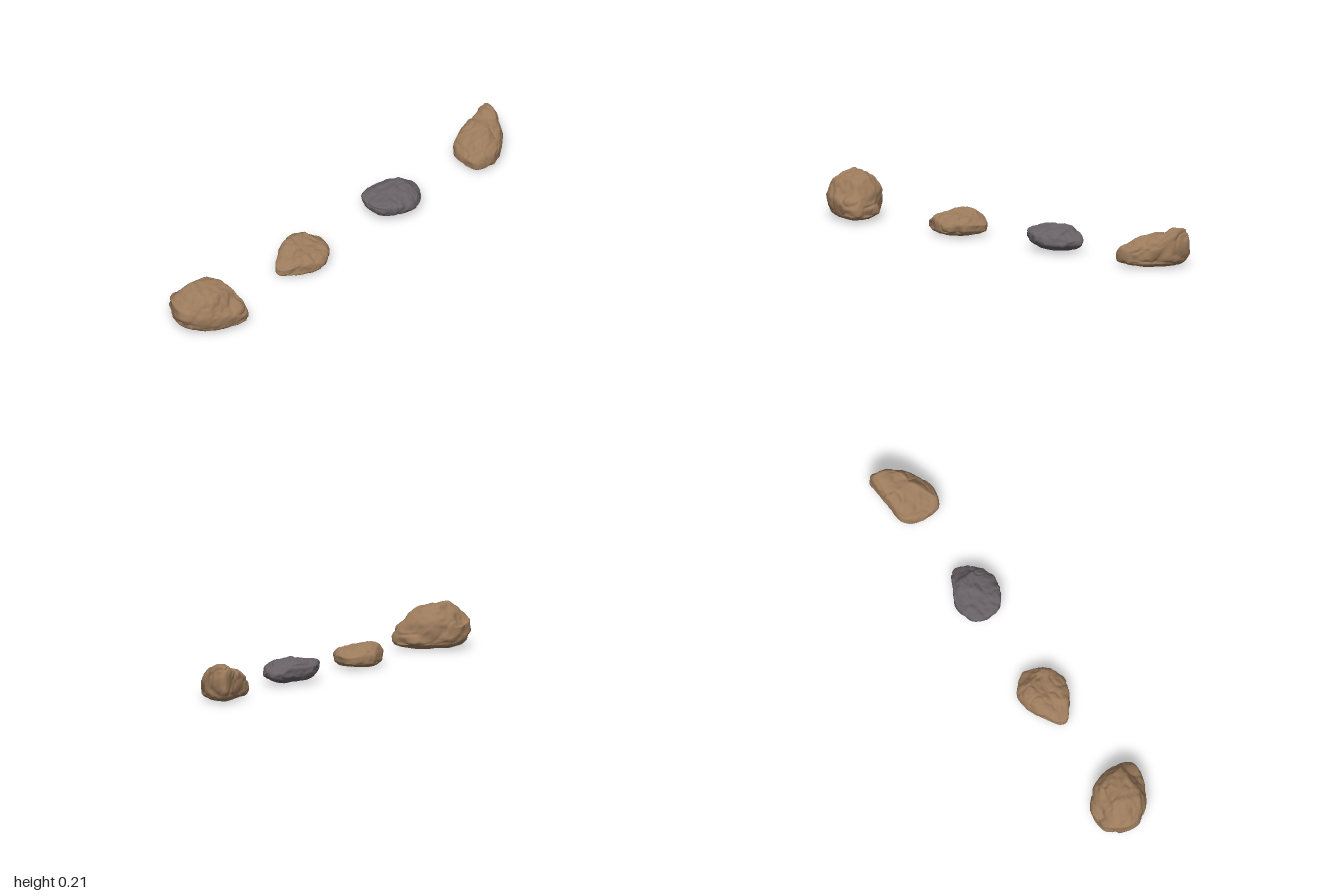
import * as THREE from 'three';

const SEGMENTS = 120, RINGS = 60, GROUND = 0.007;

// Seeded lattice hash in 0..1
function hash(x, y, z, seed) {
  const s = Math.sin(x * 127.1 + y * 311.7 + z * 74.7 + seed * 53.3) * 43758.5453;
  return s - Math.floor(s);
}

// Smooth value noise in -1..1
function noise(x, y, z, seed) {
  const ix = Math.floor(x), iy = Math.floor(y), iz = Math.floor(z);
  const ease = t => t * t * (3 - 2 * t);
  const u = ease(x - ix), v = ease(y - iy), w = ease(z - iz);
  let sum = 0;
  for (let i = 0; i < 2; i++) for (let j = 0; j < 2; j++) for (let k = 0; k < 2; k++) {
    sum += hash(ix + i, iy + j, iz + k, seed) * (i ? u : 1 - u) * (j ? v : 1 - v) * (k ? w : 1 - w);
  }
  return sum * 2 - 1;
}

// Chipped stone: a few octaves of bumps plus narrow cracks
function roughness(p, seed) {
  const at = f => noise(p.x * f, p.y * f * 1.3, p.z * f, seed + f);
  const crack = Math.max(0, 1 - Math.abs(at(13)) * 7);
  return at(17) * 0.008 + at(38) * 0.004 + at(80) * 0.0018 - crack * 0.005;
}

// Height of a profile of [position, height] points
function sample(profile, s) {
  if (s <= profile[0][0]) return profile[0][1];
  for (let i = 1; i < profile.length; i++) {
    const [s0, h0] = profile[i - 1], [s1, h1] = profile[i];
    if (s <= s1) return THREE.MathUtils.lerp(h0, h1, (s - s0) / (s1 - s0));
  }
  return profile[profile.length - 1][1];
}

// Rock swept in rings from top to bottom: plan outline, tilted rim, and top profiles along x and z
function rockGeometry({ outline, rim, topX, topZ, crown, keel, seed }) {
  const corners = outline.map(([x, z]) => new THREE.Vector3(x, 0, z));
  const center = new THREE.Box3().setFromPoints(corners).getCenter(new THREE.Vector3());
  const edge = new THREE.CatmullRomCurve3(corners, true, 'centripetal').getSpacedPoints(SEGMENTS);
  const positions = [], index = [];

  const addPoint = (x, z, h) => {
    const middle = rim[0] + rim[1] * (x - center.x) + rim[2] * (z - center.z);
    const top = Math.max(middle + 0.006, Math.min(sample(topX, x), sample(topZ, z)));
    positions.push(x, middle + (h > 0 ? top - middle : middle - GROUND) * h, z);
  };

  addPoint(center.x, center.z, 1);
  for (let i = 1; i < RINGS; i++) {
    const a = Math.PI * i / RINGS;
    const block = i < RINGS / 2 ? crown : keel;
    const r = Math.pow(Math.sin(a), block);
    const h = Math.sign(Math.cos(a)) * Math.pow(Math.abs(Math.cos(a)), block);
    for (let j = 0; j < SEGMENTS; j++) {
      const p = center.clone().lerp(edge[j], r);
      addPoint(p.x, p.z, h);
    }
  }
  addPoint(center.x, center.z, -1);

  const last = positions.length / 3 - 1;
  const id = (i, j) => 1 + i * SEGMENTS + j % SEGMENTS;
  for (let j = 0; j < SEGMENTS; j++) {
    index.push(0, id(0, j + 1), id(0, j));
    for (let i = 0; i < RINGS - 2; i++) {
      const a = id(i, j), b = id(i, j + 1), c = id(i + 1, j), d = id(i + 1, j + 1);
      index.push(a, d, c, a, b, d);
    }
    index.push(last, id(RINGS - 2, j), id(RINGS - 2, j + 1));
  }

  const geometry = new THREE.BufferGeometry();
  geometry.setAttribute('position', new THREE.Float32BufferAttribute(positions, 3));
  geometry.setIndex(index);
  geometry.computeVertexNormals();

  // Roughen along the normals, more gently underneath
  const pos = geometry.attributes.position, p = new THREE.Vector3(), n = new THREE.Vector3();
  for (let i = 0; i < pos.count; i++) {
    p.fromBufferAttribute(pos, i);
    n.fromBufferAttribute(geometry.attributes.normal, i);
    p.addScaledVector(n, roughness(p, seed) * (n.y < -0.5 ? 0.5 : 1));
    pos.setXYZ(i, p.x, Math.max(p.y, 0.001), p.z);
  }
  geometry.computeVertexNormals();
  return geometry;
}

export function createModel() {
  const brown = new THREE.MeshStandardMaterial({ color: 0x9c7b5c });
  brown.name = 'brown stone';
  const grey = new THREE.MeshStandardMaterial({ color: 0x686165 });
  grey.name = 'grey stone';

  const group = new THREE.Group();
  group.name = 'rocks';
  const addRock = (name, material, shape) => {
    const mesh = new THREE.Mesh(rockGeometry(shape), material);
    mesh.name = name;
    group.add(mesh);
  };

  // Tall boulder
  addRock('largeBoulder', brown, {
    seed: 3, crown: 0.6, keel: 0.55, rim: [0.085, -0.2, -0.13],
    outline: [[-0.995, -0.05], [-0.93, -0.14], [-0.81, -0.135], [-0.7, 0.04], [-0.73, 0.13], [-0.81, 0.135], [-0.96, 0.05]],
    topX: [[-1, 0.13], [-0.89, 0.21], [-0.77, 0.2], [-0.695, 0.09]],
    topZ: [[-0.15, 0.11], [-0.055, 0.212], [0.06, 0.182], [0.15, 0.09]],
  });

  // Low wedge
  addRock('wedgeRock', brown, {
    seed: 11, crown: 0.6, keel: 0.5, rim: [0.048, 0.02, -0.05],
    outline: [[-0.415, 0], [-0.29, -0.095], [-0.2, -0.108], [-0.12, -0.03], [-0.17, 0.07], [-0.26, 0.105]],
    topX: [[-0.415, 0.055], [-0.285, 0.112], [-0.19, 0.117], [-0.12, 0.06]],
    topZ: [[-0.11, 0.095], [-0.05, 0.118], [0.11, 0.075]],
  });

  // Flat slab with a low step at one end
  addRock('greySlab', grey, {
    seed: 23, crown: 0.65, keel: 0.8, rim: [0.068, -0.1, 0],
    outline: [[0.168, 0.01], [0.19, -0.08], [0.29, -0.11], [0.375, -0.072], [0.45, -0.01], [0.34, 0.105], [0.2, 0.065]],
    topX: [[0.165, 0.1], [0.37, 0.122], [0.39, 0.095], [0.45, 0.068]],
    topZ: [[-0.11, 0.1], [-0.03, 0.12], [0.11, 0.095]],
  });

  // Rock rising to a horn at the back
  addRock('hornedRock', brown, {
    seed: 37, crown: 0.5, keel: 0.5, rim: [0.065, 0.15, -0.1],
    outline: [[0.725, 0.08], [0.745, -0.07], [0.9, -0.1], [0.985, -0.1], [0.955, 0.015], [0.845, 0.105]],
    topX: [[0.725, 0.085], [0.86, 0.15], [0.9, 0.152], [0.97, 0.188]],
    topZ: [[-0.08, 0.188], [0, 0.172], [0.11, 0.09]],
  });
  return group;
}
